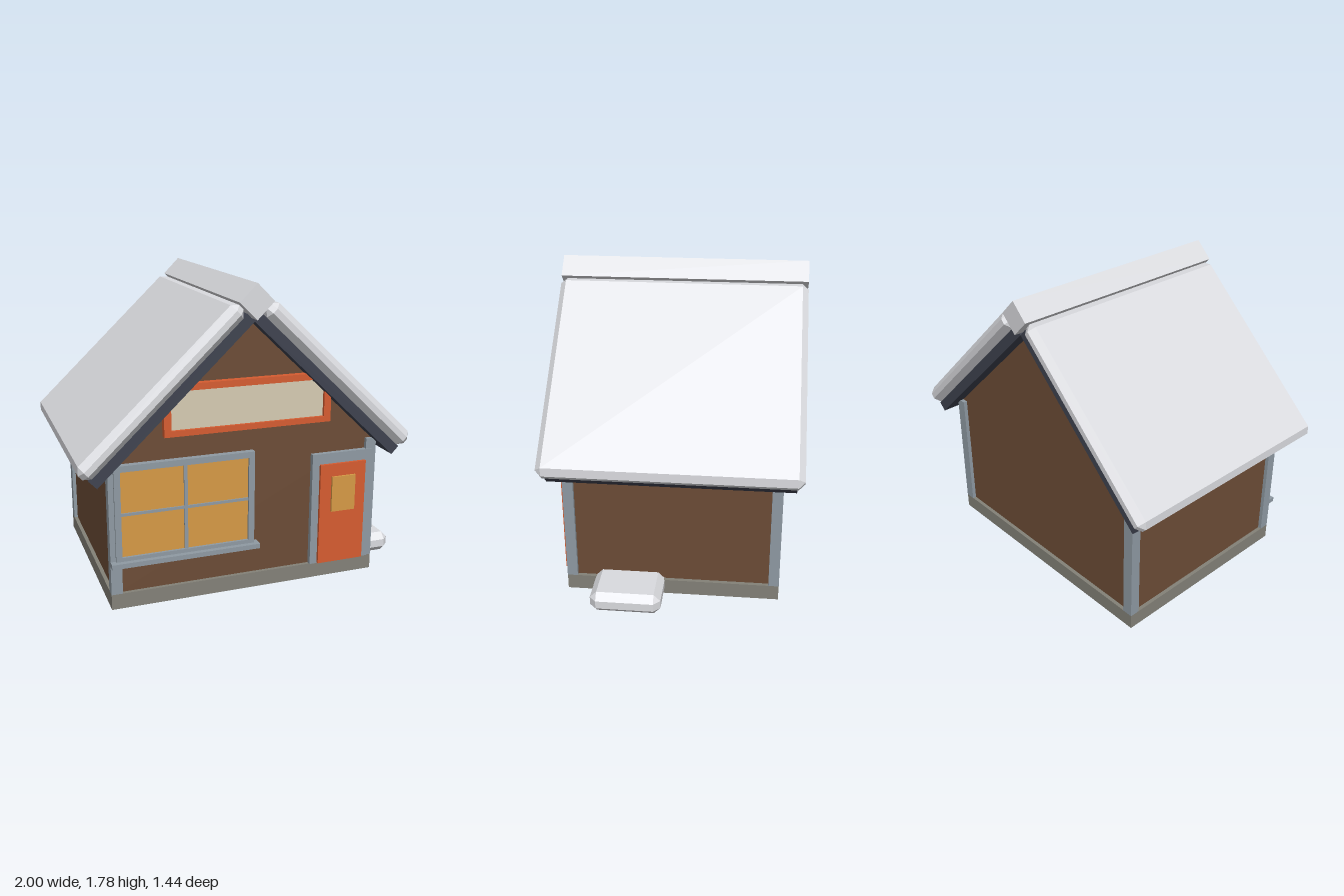
import * as THREE from 'three';
import { ConvexGeometry } from 'three/addons/geometries/ConvexGeometry.js';

const paint = (name, color) => {
  const m = new THREE.MeshStandardMaterial({ color });
  m.name = name;
  return m;
};

export function createModel() {
  const timber = paint('brown timber', 0x6c4c36);
  const trim = paint('grey trim', 0x8f9aa3);
  const stone = paint('foundation stone', 0x838178);
  const slate = paint('dark roof', 0x3e424f);
  const snow = paint('snow', 0xdadbdf);
  const orange = paint('orange paint', 0xd65c30);
  const amber = paint('amber glass', 0xd69a45);
  const cream = paint('cream panel', 0xd6cbb2);

  const house = new THREE.Group();
  house.name = 'house';
  const cx = -0.033; // ridge line of the house

  const add = (name, geometry, material, parent = house) => {
    const mesh = new THREE.Mesh(geometry, material);
    mesh.name = name;
    parent.add(mesh);
    return mesh;
  };

  // Box given by its bounds
  const box = (name, mat, x0, x1, y0, y1, z0, z1, parent) => {
    const g = new THREE.BoxGeometry(x1 - x0, y1 - y0, z1 - z0);
    g.translate((x0 + x1) / 2, (y0 + y1) / 2, (z0 + z1) / 2);
    return add(name, g, mat, parent);
  };

  // Box given by its bounds, with every edge chamfered by c
  const chamferBox = (name, mat, x0, x1, y0, y1, z0, z1, c, parent) => {
    const h = [(x1 - x0) / 2, (y1 - y0) / 2, (z1 - z0) / 2];
    const points = [];
    for (const sx of [-1, 1]) for (const sy of [-1, 1]) for (const sz of [-1, 1]) {
      for (let face = 0; face < 3; face++) {
        const [x, y, z] = h.map((v, i) => (i === face ? v : v - c));
        points.push(new THREE.Vector3(sx * x, sy * y, sz * z));
      }
    }
    const g = new ConvexGeometry(points);
    g.translate((x0 + x1) / 2, (y0 + y1) / 2, (z0 + z1) / 2);
    return add(name, g, mat, parent);
  };

  // Rectangular frame with an opening
  const frame = (name, mat, [x0, x1, y0, y1], [a0, a1, b0, b1], z0, z1) => {
    const s = new THREE.Shape([[x0, y0], [x1, y0], [x1, y1], [x0, y1]].map(p => new THREE.Vector2(...p)));
    s.holes.push(new THREE.Path([[a0, b0], [a0, b1], [a1, b1], [a1, b0]].map(p => new THREE.Vector2(...p))));
    const g = new THREE.ExtrudeGeometry(s, { depth: z1 - z0, bevelEnabled: false });
    g.translate(0, 0, z0);
    return add(name, g, mat);
  };

  // Foundation and gabled walls
  box('foundation', stone, cx - 0.802, cx + 0.802, 0, 0.09, -0.612, 0.612);
  const gable = new THREE.Shape([
    [-0.78, 0.08], [0.78, 0.08], [0.78, 0.86], [0, 1.59], [-0.78, 0.86],
  ].map(([x, y]) => new THREE.Vector2(cx + x, y)));
  const walls = new THREE.ExtrudeGeometry(gable, { depth: 1.18, bevelEnabled: false });
  walls.translate(0, 0, -0.59);
  add('walls', walls, timber);

  // Corner posts
  for (const sx of [-1, 1]) for (const sz of [-1, 1]) {
    const x = cx + sx * 0.77, z = sz * 0.583;
    box('cornerPost', trim, x - 0.032, x + 0.032, 0.09, 0.835, z - 0.03, z + 0.03);
  }

  // Two roof slopes; local x runs up the slope from the eave
  for (const side of [0, 1]) {
    const half = new THREE.Group();
    half.name = side ? 'rightRoof' : 'leftRoof';
    half.position.x = cx;
    half.rotation.y = side * Math.PI;
    const slope = new THREE.Group();
    slope.name = 'roofSlope';
    slope.position.set(-0.912, 0.79, 0);
    slope.rotation.z = THREE.MathUtils.degToRad(43.6);
    box('roofBoard', slate, 0, 1.203, -0.06, 0.001, -0.68, 0.68, slope);
    chamferBox('roofSnow', snow, -0.013, 1.203, 0, 0.103, -0.718, 0.718, 0.035, slope);
    half.add(slope);
    house.add(half);
  }

  // Ridge cap set on its edge
  const ridge = add('ridgeCap', new THREE.BoxGeometry(0.138, 0.138, 1.436), snow);
  ridge.position.set(cx, 1.686, 0);
  ridge.rotation.z = Math.PI / 4;

  // Front window
  frame('windowFrame', trim, [-0.805, 0, 0.275, 0.838], [-0.77, -0.035, 0.31, 0.803], 0.585, 0.627);
  box('windowGlass', amber, -0.775, -0.03, 0.305, 0.808, 0.585, 0.612);
  box('windowMullion', trim, -0.413, -0.393, 0.305, 0.808, 0.6, 0.622);
  box('windowBar', trim, -0.775, -0.03, 0.549, 0.565, 0.6, 0.62);
  box('windowSill', trim, -0.835, 0.026, 0.26, 0.288, 0.585, 0.655);

  // Front door
  box('doorFrame', trim, 0.36, 0.74, 0.09, 0.773, 0.585, 0.62);
  box('door', orange, 0.405, 0.695, 0.095, 0.71, 0.6, 0.637);
  box('doorGlass', amber, 0.475, 0.625, 0.42, 0.635, 0.63, 0.65);

  // Gable panel, its upper corners tucked under the roof
  frame('gableFrame', orange, [-0.523, 0.457, 0.97, 1.257], [-0.483, 0.415, 1.003, 1.22], 0.585, 0.63);
  box('gablePanel', cream, -0.49, 0.42, 1, 1.225, 0.585, 0.612);

  // Snowy side step
  chamferBox('sideStep', snow, 0.69, 1, 0.002, 0.125, 0.045, 0.445, 0.038);

  return house;
}
